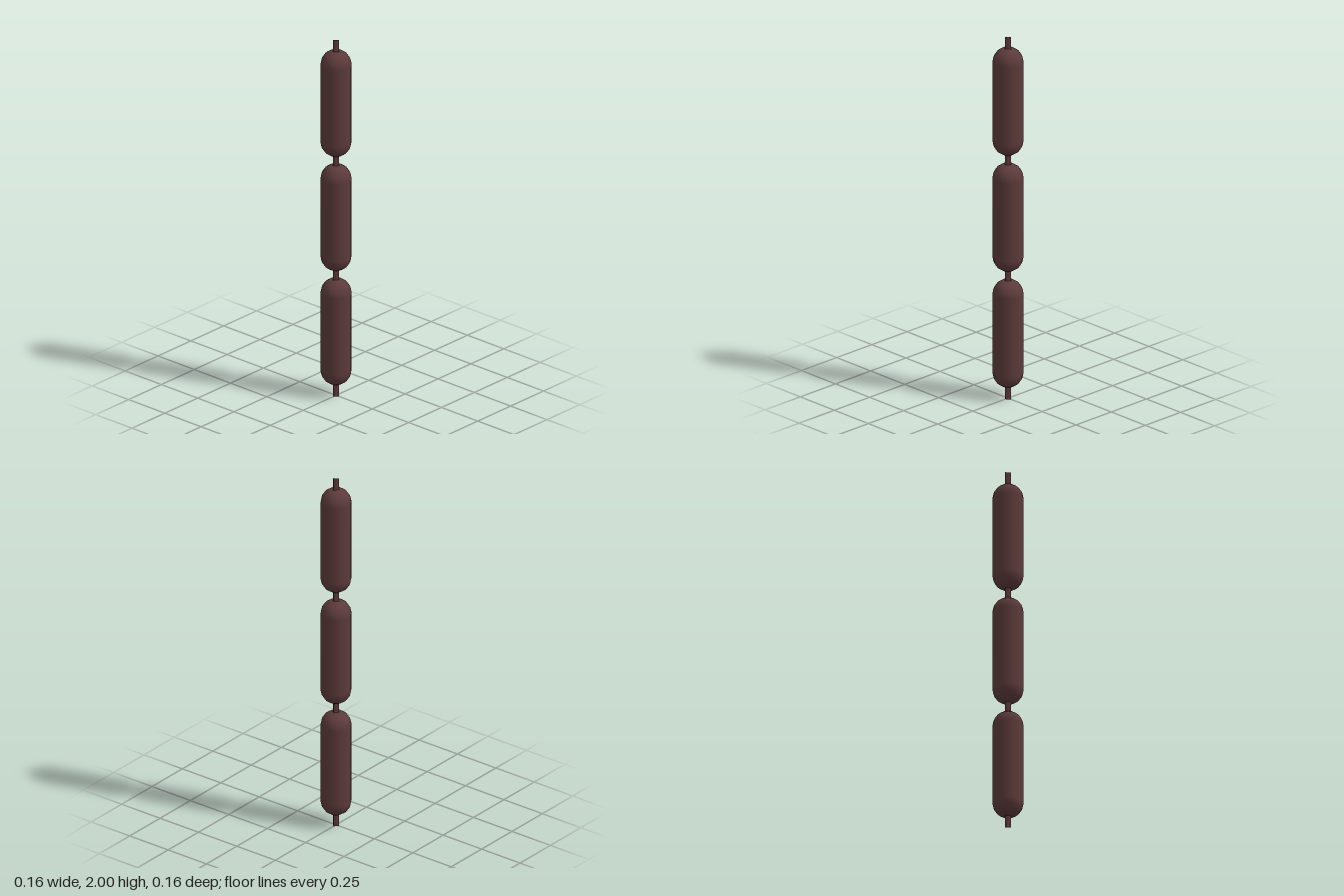
import * as THREE from 'three';

export function createModel() {
  const group = new THREE.Group();
  const material = new THREE.MeshStandardMaterial({ color: 0x5c3a3a });
  const spacing = 0.64;

  // Three plump links, stacked end to end
  const linkGeometry = new THREE.CapsuleGeometry(0.08, 0.432, 4, 16);
  for (let i = 0; i < 3; i++) {
    const link = new THREE.Mesh(linkGeometry, material);
    link.name = 'sausageLink' + (i + 1);
    link.position.y = 1 + (i - 1) * spacing;
    group.add(link);
  }

  // Thin four-sided twists of casing, open at the ends, sunk into the links
  const twist = (bottom, top, name) => {
    const geometry = new THREE.CylinderGeometry(0.021, 0.021, top - bottom, 4, 1, true);
    const mesh = new THREE.Mesh(geometry, material);
    mesh.name = name;
    mesh.position.y = (bottom + top) / 2;
    group.add(mesh);
  };
  twist(0, 0.08, 'bottomTwist');
  twist(0.64, 0.72, 'lowerTwist');
  twist(1.28, 1.36, 'upperTwist');
  twist(1.92, 2, 'topTwist');

  return group;
}
